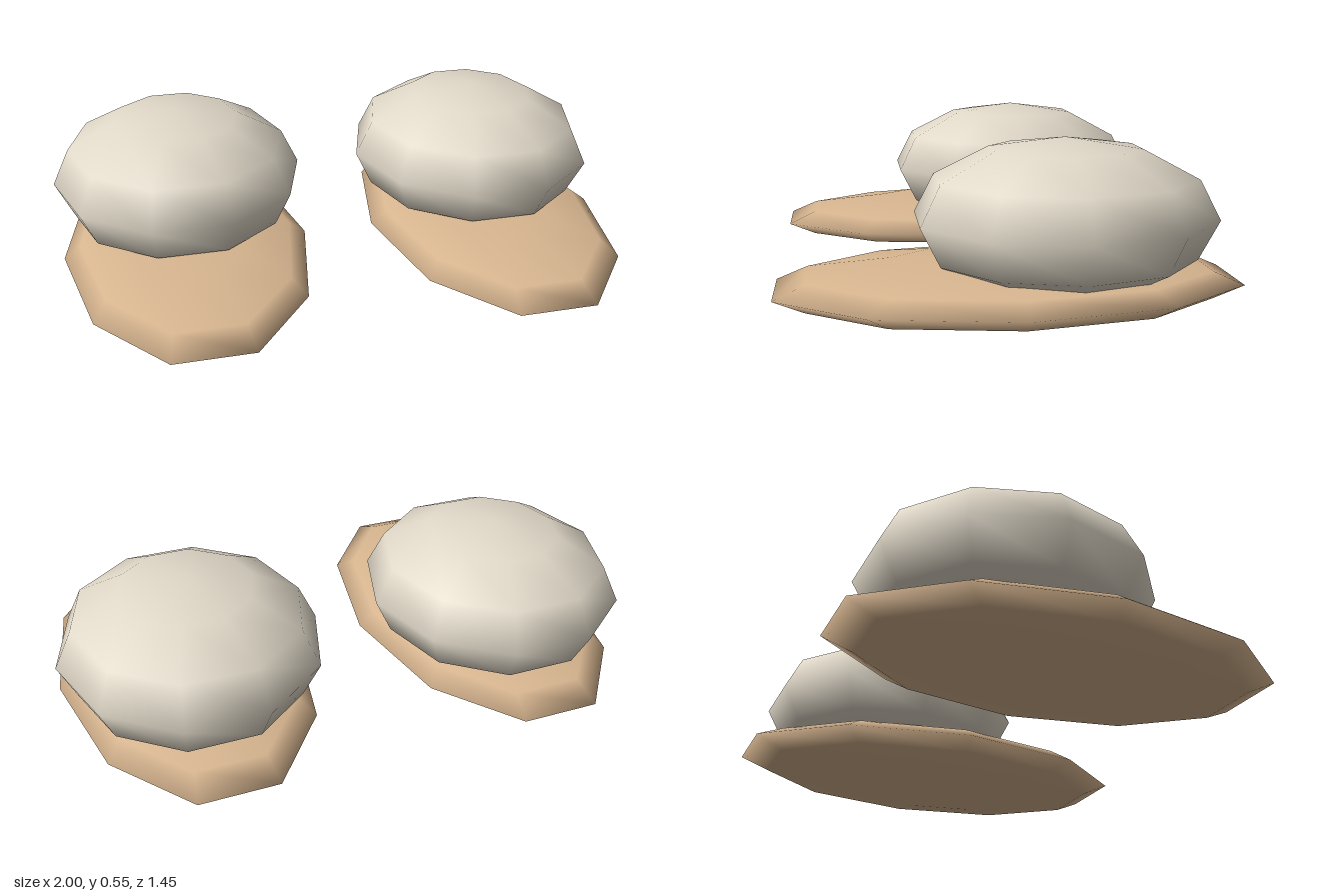
import * as THREE from 'three';

const soleMaterial = new THREE.MeshStandardMaterial({ color: 0xd8b690 });
const topMaterial = new THREE.MeshStandardMaterial({ color: 0xe0d8c8 });

// Low-poly ellipsoid: ten sides, six rings, smooth normals
function ellipsoid(name, material, radii, position) {
  const geometry = new THREE.SphereGeometry(1, 10, 6).scale(...radii);
  const mesh = new THREE.Mesh(geometry, material);
  mesh.name = name;
  mesh.position.set(...position);
  return mesh;
}

export function createModel() {
  const model = new THREE.Group();
  model.name = 'pairOfSlippers';

  for (const side of [1, -1]) {
    const slipper = new THREE.Group();
    slipper.name = side > 0 ? 'leftSlipper' : 'rightSlipper';
    slipper.position.x = side * 0.557;

    // Long flat sole
    slipper.add(ellipsoid('sole', soleMaterial, [0.43, 0.087, 0.762], [0, 0.089, 0]));
    // Rounded upper, set towards the back
    slipper.add(ellipsoid('upper', topMaterial, [0.443, 0.25, 0.485], [0, 0.297, -0.176]));

    model.add(slipper);
  }
  return model;
}
